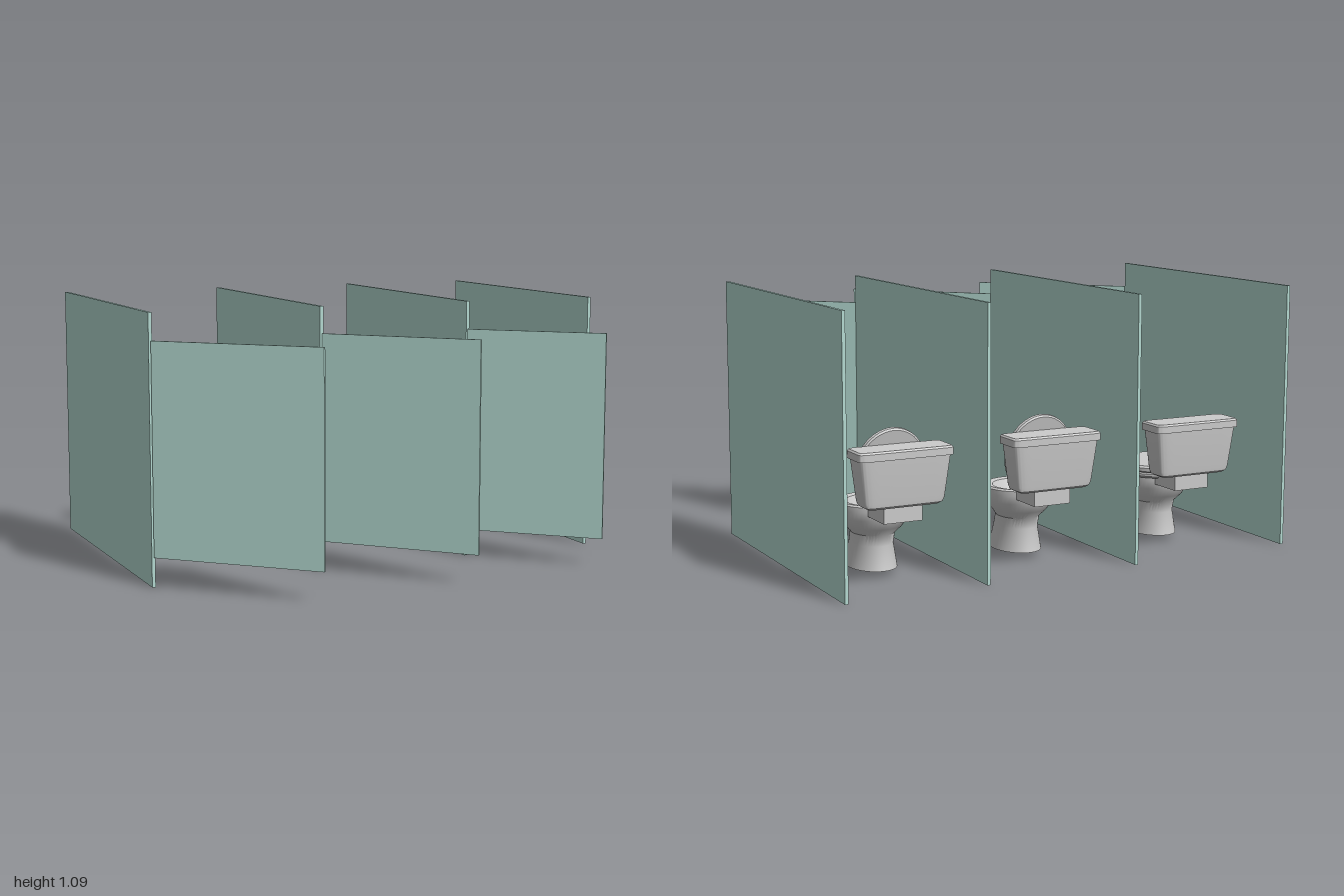
import * as THREE from 'three';
import { toCreasedNormals } from 'three/addons/utils/BufferGeometryUtils.js';

const grey = new THREE.MeshStandardMaterial({ color: 0xcccccc });
const teal = new THREE.MeshStandardMaterial({ color: 0xb6dcd3 });

// Skin through horizontal rings [y, centre z, half width, half depth];
// power 2 gives ellipses, higher powers give rounded rectangles.
function loft(rings, power = 2, sides = 48) {
  const pos = [], index = [];
  const bend = (v) => Math.sign(v) * Math.abs(v) ** (2 / power);
  for (const [y, z, w, d] of rings) {
    for (let j = 0; j < sides; j++) {
      const a = (j / sides) * Math.PI * 2;
      pos.push(w * bend(Math.cos(a)), y, z + d * bend(Math.sin(a)));
    }
  }
  for (let i = 0; i < rings.length - 1; i++) {
    for (let j = 0; j < sides; j++) {
      const a = i * sides + j, b = i * sides + (j + 1) % sides;
      index.push(a, a + sides, b, a + sides, b + sides, b);
    }
  }
  const geo = new THREE.BufferGeometry();
  geo.setAttribute('position', new THREE.Float32BufferAttribute(pos, 3));
  geo.setIndex(index);
  return toCreasedNormals(geo, 0.6);
}

function add(parent, name, geometry, material) {
  const mesh = new THREE.Mesh(geometry, material);
  mesh.name = name;
  parent.add(mesh);
  return mesh;
}

function makeToilet(closed) {
  const toilet = new THREE.Group();
  toilet.name = 'toilet';

  // Pedestal flowing up into the hollow bowl
  add(toilet, 'bowl', loft([
    [0.025, -0.47, 0, 0], [0.025, -0.47, 0.098, 0.135],
    [0.12, -0.475, 0.083, 0.11], [0.165, -0.49, 0.085, 0.105],
    [0.195, -0.505, 0.112, 0.12], [0.235, -0.51, 0.138, 0.138],
    [0.27, -0.51, 0.146, 0.146], [0.29, -0.51, 0.146, 0.146],
    [0.297, -0.51, 0.138, 0.138], [0.293, -0.512, 0.112, 0.115],
    [0.24, -0.52, 0.082, 0.1], [0.19, -0.52, 0.07, 0.075],
    [0.18, -0.52, 0, 0],
  ]), grey);

  // Shelf joining bowl and tank
  const shelf = add(toilet, 'tankSupport', new THREE.BoxGeometry(0.16, 0.07, 0.15), grey);
  shelf.position.set(0, 0.292, -0.705);

  // Tapered tank and its cover
  add(toilet, 'tank', loft([
    [0.32, -0.757, 0, 0], [0.32, -0.757, 0.145, 0.042],
    [0.328, -0.757, 0.16, 0.05], [0.345, -0.757, 0.167, 0.053],
    [0.512, -0.76, 0.188, 0.064], [0.512, -0.76, 0, 0],
  ], 9), grey);
  add(toilet, 'tankCover', loft([
    [0.51, -0.76, 0, 0], [0.51, -0.76, 0.196, 0.07],
    [0.538, -0.76, 0.196, 0.07], [0.545, -0.76, 0.19, 0.064],
    [0.545, -0.76, 0, 0],
  ], 12), grey);

  // Lid, either lying on the seat or leaning back on the tank
  const lid = add(toilet, 'lid', loft([
    [-0.014, 0, 0, 0], [-0.014, 0, 0.158, 0.173], [-0.008, 0, 0.165, 0.18],
    [0.006, 0, 0.165, 0.18], [0.014, 0, 0.155, 0.17], [0.014, 0, 0, 0],
  ]), grey);
  if (closed) {
    lid.position.set(0, 0.323, -0.518);
    add(toilet, 'seat', loft([
      [0.285, -0.515, 0.1, 0.11], [0.285, -0.515, 0.15, 0.16],
      [0.293, -0.515, 0.158, 0.168], [0.302, -0.515, 0.158, 0.168],
      [0.31, -0.515, 0.15, 0.16], [0.31, -0.515, 0.1, 0.11],
      [0.285, -0.515, 0.1, 0.11],
    ]), grey);
  } else {
    lid.scale.set(0.89, 1, 0.92);
    lid.rotation.x = Math.PI / 2 - 0.2;
    lid.position.set(0, 0.445, -0.66);
  }
  return toilet;
}

export function createModel() {
  const model = new THREE.Group();
  model.name = 'restroomStalls';

  // Partition walls: [x, back z, front z]
  const walls = [[-0.993, -0.87, 0.38], [-0.266, -0.886, 0.364],
    [0.402, -0.89, 0.357], [0.992, -0.89, 0.357]];
  for (const [x, back, front] of walls) {
    const wall = add(model, 'partition', new THREE.BoxGeometry(0.014, 1.087, front - back), teal);
    wall.position.set(x, 1.087 / 2, (back + front) / 2);
  }

  // Doors standing ajar: [hinge x, hinge z, free x, free z, bottom, top]
  const doors = [[-0.99, 0.384, -0.472, 0.88, 0.12, 0.977],
    [-0.264, 0.365, 0.2, 0.857, 0.12, 0.977],
    [0.402, 0.357, 0.83, 0.76, 0.113, 0.97]];
  for (const [x0, z0, x1, z1, low, high] of doors) {
    const length = Math.hypot(x1 - x0, z1 - z0);
    const door = add(model, 'door', new THREE.BoxGeometry(length, high - low, 0.011), teal);
    door.position.set((x0 + x1) / 2, (low + high) / 2, (z0 + z1) / 2);
    door.rotation.y = -Math.atan2(z1 - z0, x1 - x0);
  }

  // One toilet per stall, the first with its lid down
  [-0.594, 0.063, 0.711].forEach((x, i) => {
    const toilet = makeToilet(i === 0);
    toilet.position.x = x;
    model.add(toilet);
  });
  return model;
}
